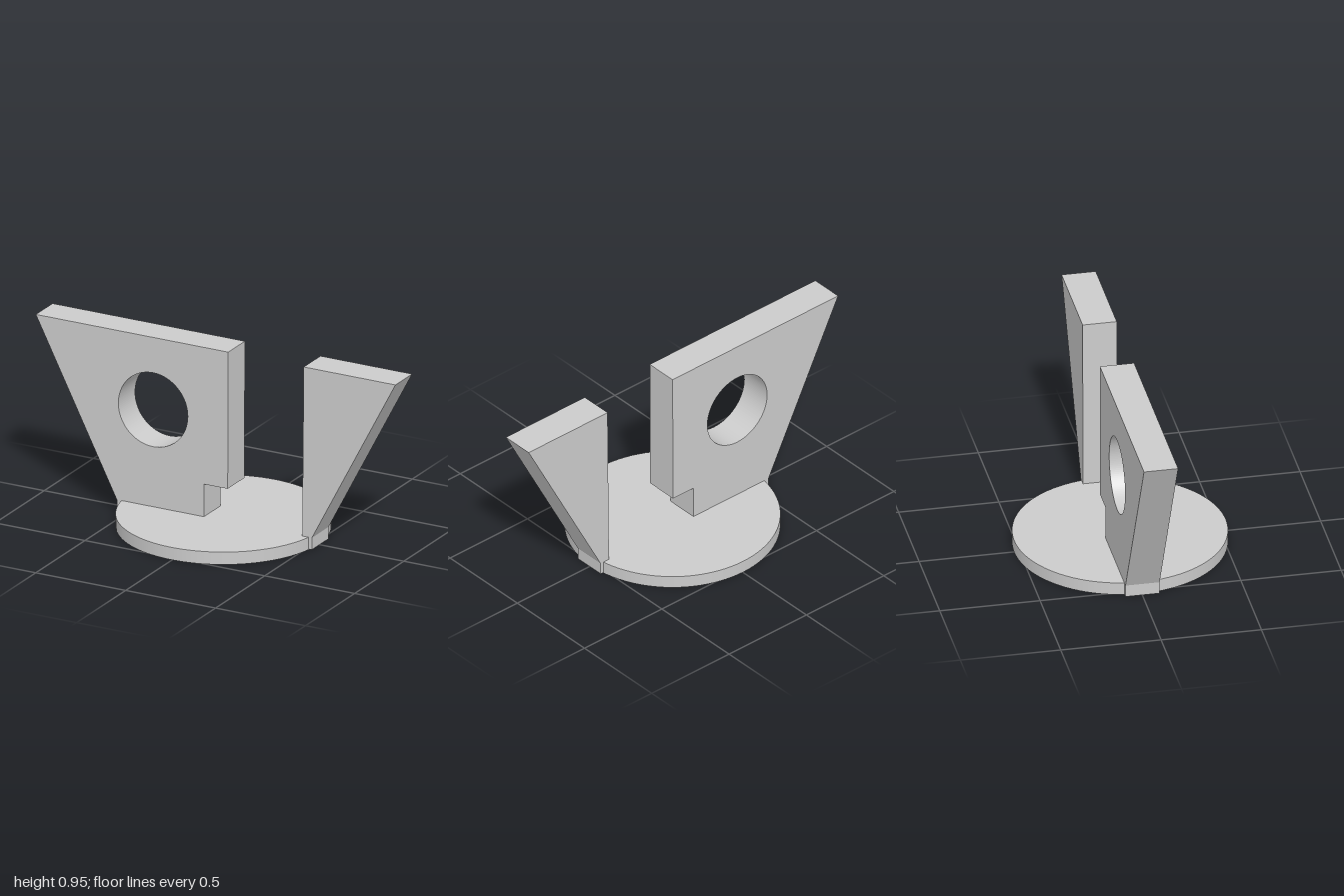
import * as THREE from 'three';

const THICKNESS = 0.17;

// Upright plate cut from an outline in the front plane
function plate(name, outline, material, hole) {
  const shape = new THREE.Shape(outline.map(([x, y]) => new THREE.Vector2(x, y)));
  if (hole) {
    const path = new THREE.Path();
    path.absarc(hole.x, hole.y, hole.r, 0, Math.PI * 2, true);
    shape.holes.push(path);
  }
  const geometry = new THREE.ExtrudeGeometry(shape, {
    depth: THICKNESS, bevelEnabled: false, curveSegments: 64,
  });
  geometry.translate(0, 0, -THICKNESS / 2);
  const mesh = new THREE.Mesh(geometry, material);
  mesh.name = name;
  return mesh;
}

export function createModel() {
  const model = new THREE.Group();
  model.name = 'notchedPlateStand';
  const material = new THREE.MeshStandardMaterial({ color: 0xcccccc });

  // Round base
  const base = new THREE.Mesh(new THREE.CylinderGeometry(0.527, 0.527, 0.065, 96), material);
  base.name = 'roundBase';
  base.position.set(-0.003, 0.0325, 0);
  model.add(base);

  // Wide plate with round hole and a step cut at its inner foot
  model.add(plate('piercedPlate', [
    [-0.55, 0.003], [-0.065, 0.003], [-0.065, 0.235], [0.067, 0.235],
    [0.07, 0.95], [-1, 0.95], [-0.55, 0.065],
  ], material, { x: -0.348, y: 0.572, r: 0.193 }));

  // Narrow tapering plate
  model.add(plate('taperedPlate', [
    [0.481, 0.003], [0.535, 0.003], [0.535, 0.065], [1, 0.95], [0.49, 0.95],
  ], material));

  return model;
}
